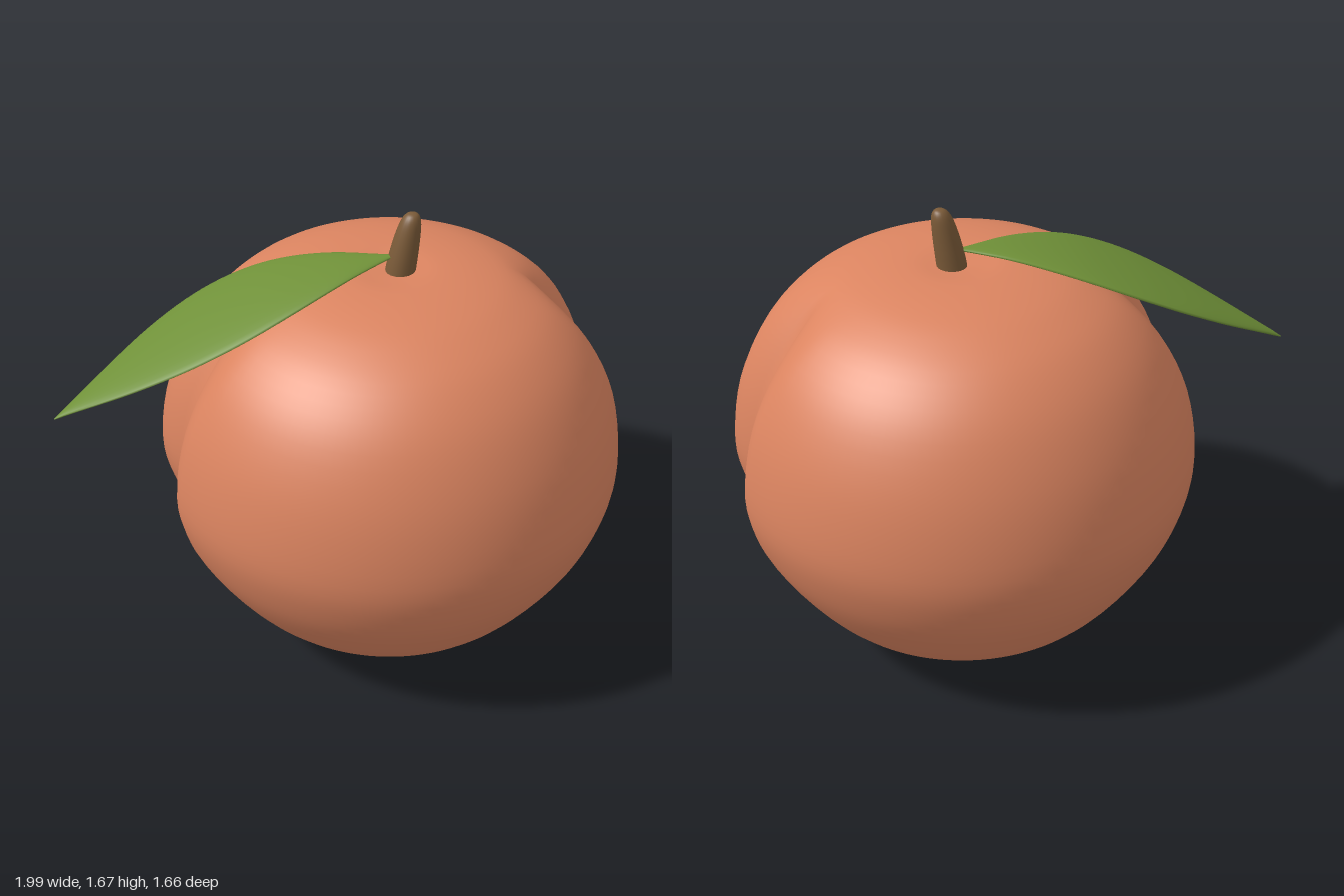
import * as THREE from 'three';
import { mergeVertices } from 'three/addons/utils/BufferGeometryUtils.js';

const CENTER_X = 0.187;

// Lathe a spline profile, bend it with a rule, then weld for smooth normals
function softLathe(profile, rows, segments, bend) {
  const curve = new THREE.SplineCurve(profile.map(([r, y]) => new THREE.Vector2(r, y)));
  const points = curve.getPoints(rows).map((p) => new THREE.Vector2(Math.max(0, p.x), p.y));
  const raw = new THREE.LatheGeometry(points, segments);
  raw.deleteAttribute('uv');
  raw.deleteAttribute('normal');
  const pos = raw.attributes.position;
  const v = new THREE.Vector3();
  for (let i = 0; i < pos.count; i++) {
    bend(v.fromBufferAttribute(pos, i));
    pos.setXYZ(i, v.x, v.y, v.z);
  }
  const geometry = mergeVertices(raw, 1e-5);
  geometry.computeVertexNormals();
  return geometry;
}

// Round fruit with a crease down the +x and -x sides
function fruitGeometry() {
  const profile = [
    [0, 0.004], [0.13, 0.008], [0.27, 0.03], [0.41, 0.08], [0.58, 0.2], [0.72, 0.39], [0.8, 0.56],
    [0.83, 0.74], [0.79, 0.98], [0.695, 1.19], [0.57, 1.33], [0.43, 1.41], [0.3, 1.448],
    [0.17, 1.463], [0.08, 1.458], [0, 1.452],
  ];
  return softLathe(profile, 60, 112, (v) => {
    const radius = Math.hypot(v.x, v.z);
    const side = Math.max(0, 1 - Math.abs(v.z) / 0.22);
    const fade = THREE.MathUtils.smoothstep(radius, 0.38, 0.72);
    v.x -= Math.sign(v.x) * 0.1 * fade * Math.pow(side, 1.5);
  });
}

// Short tapered stem with a rounded tip, leaning towards +x
function stemGeometry() {
  const profile = [[0.053, 0], [0.05, 0.08], [0.043, 0.16], [0.034, 0.21], [0.02, 0.234], [0, 0.24]];
  return softLathe(profile, 24, 20, (v) => {
    v.x += 0.04 * Math.pow(v.y / 0.24, 1.2);
  });
}

// Pointed leaf: lens-shaped cross-sections swept along a drooping spine
function leafGeometry() {
  const spine = new THREE.CatmullRomCurve3([
    [0.2, 1.513], [0, 1.49], [-0.2, 1.438], [-0.4, 1.355], [-0.6, 1.25], [-0.8, 1.132], [-1, 1.012],
  ].map(([x, y]) => new THREE.Vector3(x, y, 0)));
  const rows = 36, ring = 24;
  const positions = [], index = [];
  for (let i = 0; i <= rows; i++) {
    const t = i / rows;
    const p = spine.getPoint(t);
    const d = spine.getTangent(t);
    const swell = Math.sin(Math.PI * t);
    const width = 0.21 * Math.pow(swell, 1.1) + 0.002;
    const thick = 0.017 * Math.sqrt(Math.max(0, swell)) + 0.002;
    for (let j = 0; j < ring; j++) {
      const a = (j / ring) * Math.PI * 2;
      const h = Math.sin(a) * thick;
      positions.push(p.x + d.y * h, p.y - d.x * h, Math.cos(a) * width);
      if (i < rows) {
        const k = (j + 1) % ring;
        const a0 = i * ring + j, b0 = i * ring + k;
        index.push(a0, b0, a0 + ring, b0, b0 + ring, a0 + ring);
      }
    }
  }
  const geometry = new THREE.BufferGeometry();
  geometry.setAttribute('position', new THREE.Float32BufferAttribute(positions, 3));
  geometry.setIndex(index);
  geometry.computeVertexNormals();
  return geometry;
}

export function createModel() {
  const material = (name, color) => {
    const m = new THREE.MeshStandardMaterial({ color });
    m.name = name;
    return m;
  };
  const skin = material('peachSkin', 0xdb8460);
  const bark = material('stemBrown', 0x7a5a38);
  const green = material('leafGreen', 0x6f9038);
  green.side = THREE.DoubleSide;

  const model = new THREE.Group();
  model.name = 'peach';
  const add = (name, geometry, mat, x = 0, y = 0) => {
    const mesh = new THREE.Mesh(geometry, mat);
    mesh.name = name;
    mesh.position.set(x, y, 0);
    model.add(mesh);
  };
  add('fruit', fruitGeometry(), skin, CENTER_X);
  add('stem', stemGeometry(), bark, 0.213, 1.43);
  add('leaf', leafGeometry(), green);
  return model;
}
